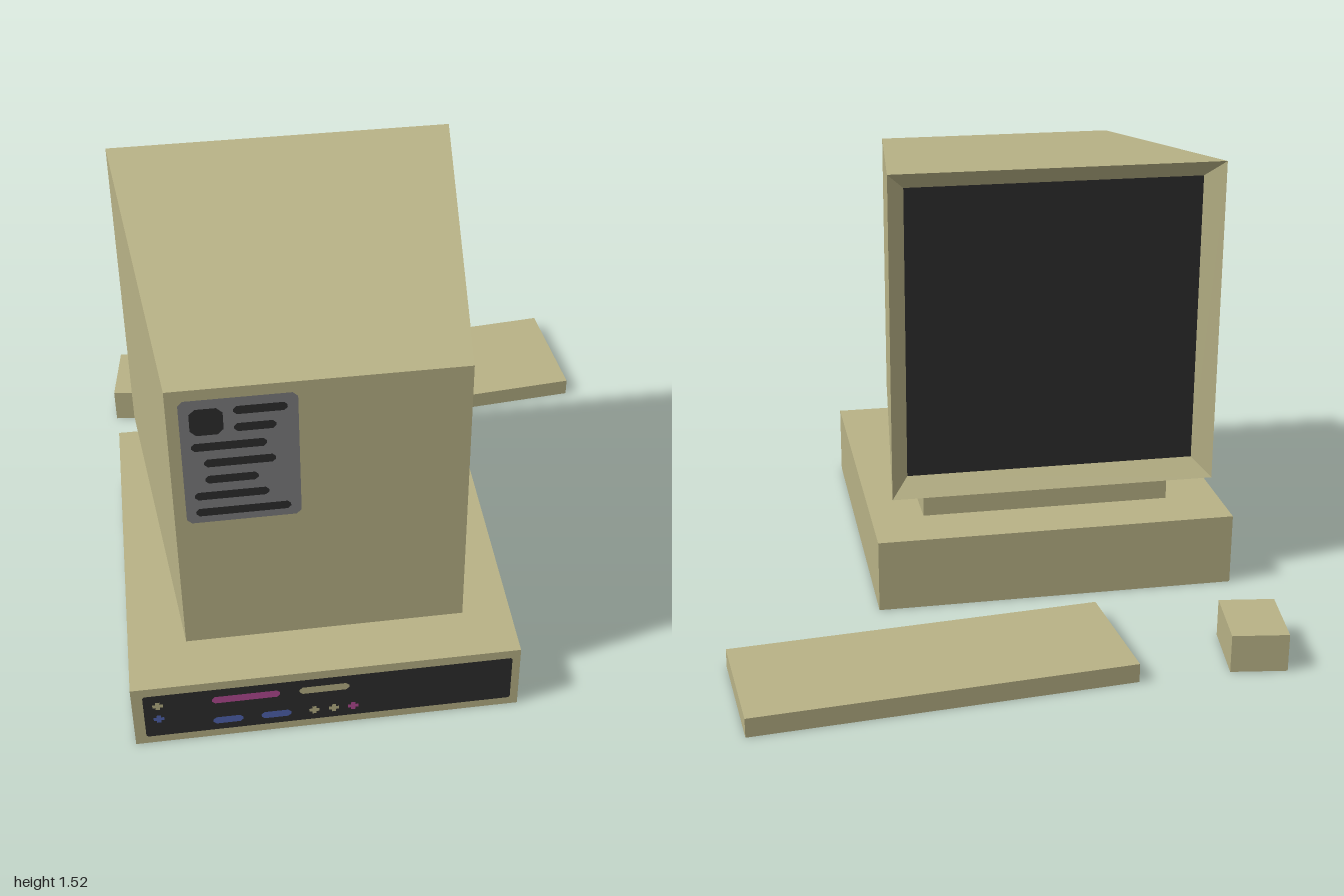
import * as THREE from 'three';

const mat = (name, color) => {
  const m = new THREE.MeshStandardMaterial({ color });
  m.name = name;
  return m;
};

export function createModel() {
  const beige = mat('beige plastic', 0xb8b286);
  const black = mat('near black', 0x2d2d2d);
  const grey = mat('label grey', 0x7d7d7f);
  const blue = mat('blue', 0x5064b0);
  const pink = mat('pink', 0xb24a92);

  const model = new THREE.Group();
  const add = (parent, name, geometry, material) => {
    const mesh = new THREE.Mesh(geometry, material);
    mesh.name = name;
    parent.add(mesh);
    return mesh;
  };

  // Box given by its limits on each axis
  const box = (name, [x0, x1], [y0, y1], [z0, z1]) =>
    add(model, name, new THREE.BoxGeometry(x1 - x0, y1 - y0, z1 - z0), beige)
      .position.set((x0 + x1) / 2, (y0 + y1) / 2, (z0 + z1) / 2);

  // Flat plate facing +z with cut corners
  const plate = (parent, name, material, x0, x1, y0, y1, z, c) => {
    const s = new THREE.Shape([
      [x0 + c, y0], [x1 - c, y0], [x1, y0 + c], [x1, y1 - c],
      [x1 - c, y1], [x0 + c, y1], [x0, y1 - c], [x0, y0 + c],
    ].map(([x, y]) => new THREE.Vector2(x, y)));
    add(parent, name, new THREE.ShapeGeometry(s), material).position.z = z;
  };
  const bar = (parent, name, material, x0, x1, y, z) =>
    plate(parent, name, material, x0, x1, y - 0.015, y + 0.015, z, 0.01);

  // Small plus-shaped mark
  const plus = (parent, name, material, x, y, z) => {
    const a = 0.007, b = 0.017;
    const s = new THREE.Shape([
      [-a, -b], [a, -b], [a, -a], [b, -a], [b, a], [a, a],
      [a, b], [-a, b], [-a, a], [-b, a], [-b, -a], [-a, -a],
    ].map(([u, v]) => new THREE.Vector2(u, v)));
    add(parent, name, new THREE.ShapeGeometry(s), material).position.set(x, y, z);
  };

  // Faceted geometry from a list of quads
  const quads = (list) => {
    const pts = list.flatMap(([a, b, c, d]) => [a, b, c, a, c, d]).flat();
    const g = new THREE.BufferGeometry();
    g.setAttribute('position', new THREE.Float32BufferAttribute(pts, 3));
    g.computeVertexNormals();
    return g;
  };

  // System unit and monitor stand
  box('systemUnit', [-0.89, 0.37], [0, 0.255], [-0.265, 1]);
  box('monitorStand', [-0.7, 0.185], [0.255, 0.382], [-0.07, 0.81]);

  // Tapered monitor shell, ending in a bevel that sinks to the screen
  const rings = [
    [-0.7, 0.185, 0.382, 1.393, 0.93],
    [-0.825, 0.31, 0.382, 1.52, -0.2],
    [-0.765, 0.25, 0.442, 1.46, -0.14],
  ].map(([x0, x1, y0, y1, z]) => [[x0, y0, z], [x1, y0, z], [x1, y1, z], [x0, y1, z]]);
  const shell = [rings[0]];
  for (let r = 0; r < 2; r++) {
    for (let i = 0; i < 4; i++) {
      const j = (i + 1) % 4;
      shell.push([rings[r][i], rings[r + 1][i], rings[r + 1][j], rings[r][j]]);
    }
  }
  add(model, 'monitorShell', quads(shell), beige);
  add(model, 'screen', quads([[...rings[2]].reverse()]), black);

  // Label on the monitor casing
  const label = new THREE.Group();
  label.name = 'casingLabel';
  model.add(label);
  plate(label, 'labelPlate', grey, -0.664, -0.322, 0.89, 1.358, 0.934, 0.015);
  plate(label, 'labelSquare', black, -0.635, -0.538, 1.231, 1.328, 0.938, 0.018);
  [
    [-0.508, -0.353, 1.314], [-0.508, -0.387, 1.251], [-0.635, -0.416, 1.187],
    [-0.601, -0.392, 1.124], [-0.601, -0.445, 1.061], [-0.635, -0.416, 0.998],
    [-0.635, -0.353, 0.934],
  ].forEach(([x0, x1, y]) => bar(label, 'labelLine', black, x0, x1, y, 0.938));

  // Connector panel on the system unit
  const panel = new THREE.Group();
  panel.name = 'connectorPanel';
  model.add(panel);
  plate(panel, 'panelPlate', black, -0.854, 0.343, 0.034, 0.224, 1.003, 0.006);
  [
    [pink, -0.635, -0.416, 0.178], [beige, -0.353, -0.192, 0.178],
    [blue, -0.635, -0.538, 0.08], [blue, -0.479, -0.382, 0.08],
  ].forEach(([m, x0, x1, y]) => bar(panel, 'port', m, x0, x1, y, 1.006));
  [
    [beige, -0.808, 0.178], [blue, -0.808, 0.117], [beige, -0.307, 0.08],
    [beige, -0.243, 0.08], [pink, -0.18, 0.08],
  ].forEach(([m, x, y]) => plus(panel, 'socket', m, x, y, 1.006));

  // Keyboard and mouse, each turned a little
  const keyboard = add(model, 'keyboard', new THREE.BoxGeometry(1.26, 0.065, 0.437), beige);
  keyboard.position.set(0.26, 0.0325, -0.728);
  keyboard.rotation.y = 0.0873;
  const mouse = add(model, 'mouse', new THREE.BoxGeometry(0.187, 0.13, 0.248), beige);
  mouse.position.set(-0.801, 0.065, -0.77);
  mouse.rotation.y = -0.134;

  return model;
}
